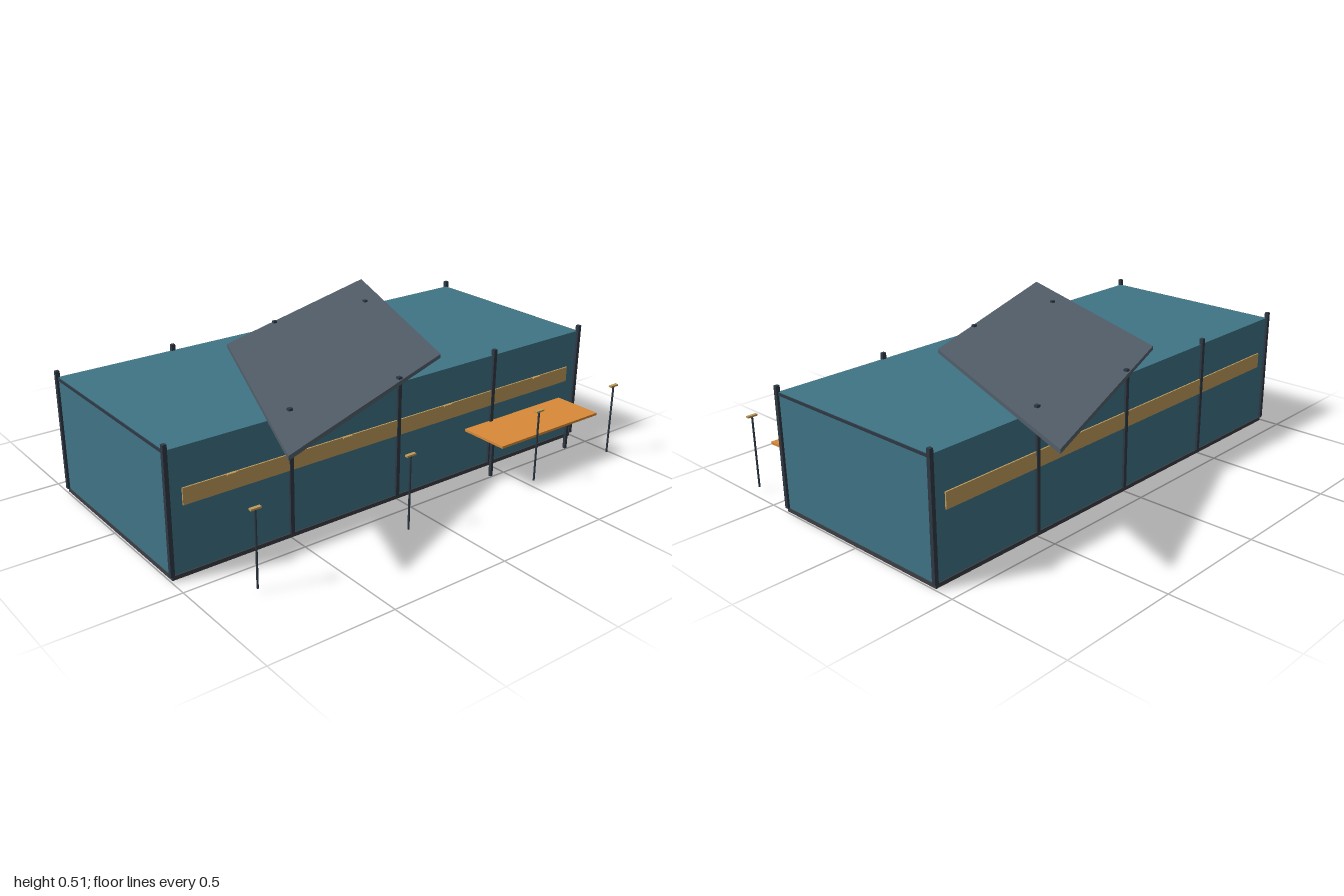
import * as THREE from 'three';

const mat = (color) => new THREE.MeshStandardMaterial({ color });

export function createModel() {
  const model = new THREE.Group();
  const teal = mat(0x3f7486), dark = mat(0x2f3a45), slate = mat(0x525e6a);
  const sand = mat(0xc09b5a), orange = mat(0xd98a38), floor = mat(0x3c3e44);

  // Box given by its size, centre x/z and bottom height
  const box = (name, material, w, h, d, x, y, z) => {
    const mesh = new THREE.Mesh(new THREE.BoxGeometry(w, h, d), material);
    mesh.name = name;
    mesh.position.set(x, y + h / 2, z);
    model.add(mesh);
    return mesh;
  };

  // Floor slab and main volume
  box('floorSlab', floor, 1.985, 0.016, 0.83, 0, 0, 0);
  box('hallBody', teal, 1.98, 0.469, 0.82, 0, 0.016, 0);

  // Posts, sign bands and end trims, mirrored front to back
  for (const side of [-1, 1]) {
    for (const x of [-0.992, -0.496, 0, 0.496, 0.992])
      box('facadePost', dark, 0.016, 0.494, 0.016, x, 0.016, side * 0.412);
    box('facadeBand', sand, 1.87, 0.064, 0.006, 0, 0.272, side * 0.414);
    box('endTopTrim', dark, 0.008, 0.011, 0.82, side * 0.99, 0.473, 0);
  }

  // Skewed flat canopy on the roof
  const outline = new THREE.Shape([[0.71, 0.71], [-0.305, 0.305], [-0.71, -0.71], [0.305, -0.305]]
    .map(([x, y]) => new THREE.Vector2(x, y)));
  const canopy = new THREE.Mesh(
    new THREE.ExtrudeGeometry(outline, { depth: 0.017, bevelEnabled: false }).rotateX(-Math.PI / 2), slate);
  canopy.name = 'roofCanopy';
  canopy.position.y = 0.484;
  model.add(canopy);

  // Small lamps above the front band
  for (const x of [-0.745, -0.248, 0.248, 0.745])
    box('wallLamp', sand, 0.04, 0.006, 0.012, x, 0.331, 0.418);

  // Serving counter with two legs
  box('counterTop', orange, 0.55, 0.01, 0.215, 0.632, 0.19, 0.512);
  for (const x of [0.412, 0.852])
    box('counterLeg', dark, 0.012, 0.175, 0.012, x, 0.016, 0.512);

  // Row of lamp poles along the front
  for (const x of [-0.8, -0.14, 0.52, 0.962]) {
    const pole = new THREE.Mesh(new THREE.CylinderGeometry(0.004, 0.004, 0.3, 8), dark);
    pole.name = 'lampPole';
    pole.position.set(x, 0.166, 0.647);
    model.add(pole);
    box('lampHead', sand, 0.042, 0.007, 0.014, x, 0.314, 0.647);
  }
  return model;
}
